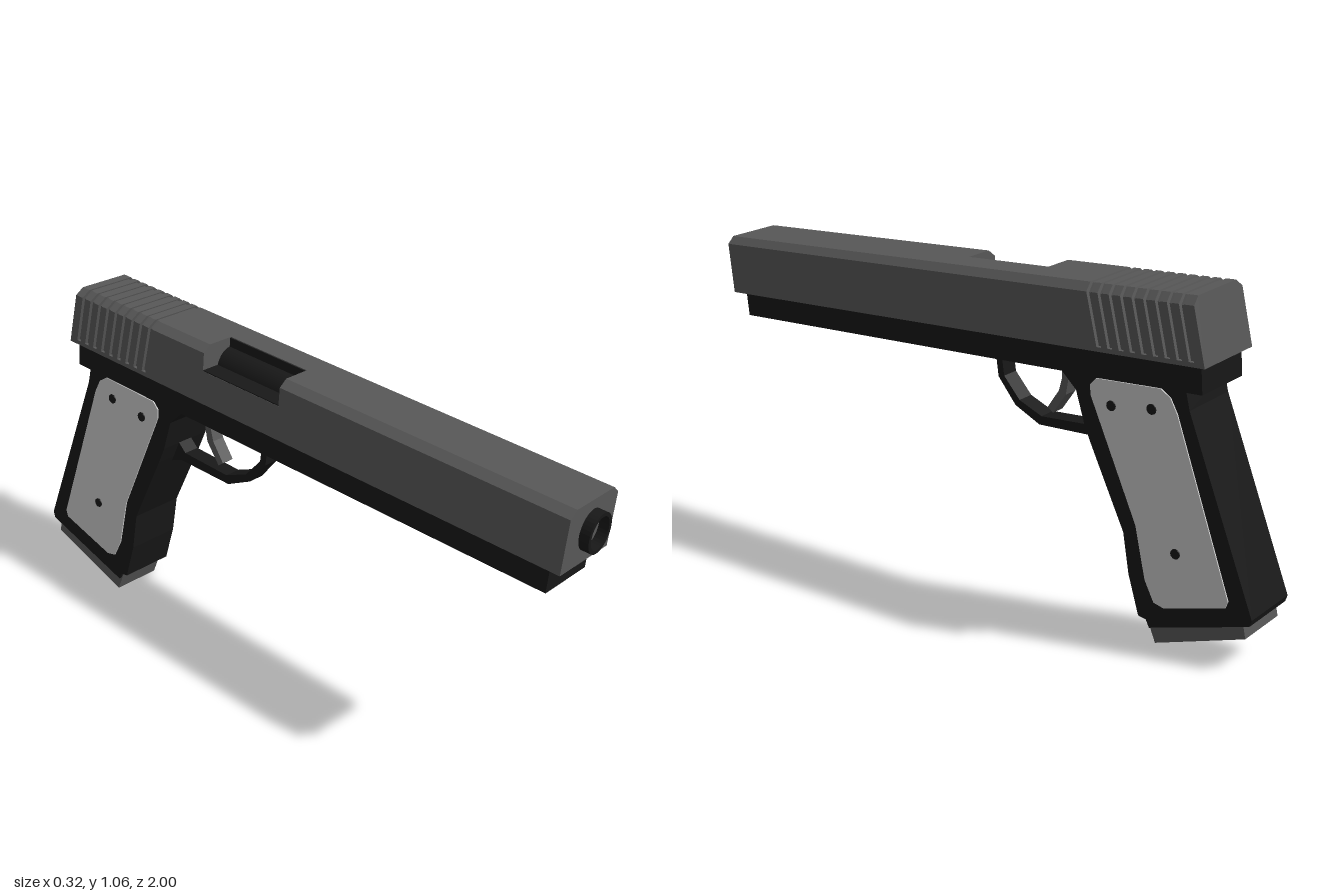
import * as THREE from 'three';

const paint = (color) => new THREE.MeshStandardMaterial({ color, flatShading: true });

export function createModel() {
  const model = new THREE.Group();
  // the whole piece leans slightly to its left
  const body = new THREE.Group();
  body.name = 'pistol';
  body.rotation.set(-0.004, 0, -0.12);
  body.position.x = -0.076;
  model.add(body);

  const black = paint(0x181818), steel = paint(0x585858), light = paint(0xcccccc);

  const add = (name, geometry, material, parent = body) => {
    const mesh = new THREE.Mesh(geometry, material);
    mesh.name = name;
    parent.add(mesh);
    return mesh;
  };
  const outline = (points) => new THREE.Shape(points.map(([a, b]) => new THREE.Vector2(a, b)));

  // side profile given as [z, y], extruded across x
  const plate = (points, width, x = 0) =>
    new THREE.ExtrudeGeometry(outline(points), { depth: width, bevelEnabled: false })
      .translate(0, 0, -width / 2).rotateY(-Math.PI / 2).translate(x, 0, 0);

  // cross-section given as [x, y], running from z0 to z1, with optionally raked ends
  const bar = (points, z0, z1, rake0 = 0, rake1 = 0) => {
    const g = new THREE.ExtrudeGeometry(outline(points), { depth: 1, bevelEnabled: false });
    const p = g.attributes.position;
    for (let i = 0; i < p.count; i++) {
      const drop = p.getY(i) - TOP;
      p.setZ(i, p.getZ(i) > 0.5 ? z1 + rake1 * drop : z0 + rake0 * drop);
    }
    g.computeVertexNormals();
    return g;
  };
  const mirrored = (half) => [...half, ...half.map(([x, y]) => [-x, y]).reverse()];

  // slide
  const TOP = 1.054, BASE = 0.869, RAKE = 0.16;
  const full = mirrored([[0.113, BASE], [0.113, 1.033], [0.088, TOP]]);
  const grooved = mirrored([[0.113, BASE], [0.113, 0.882], [0.102, 0.882], [0.102, 1.028], [0.078, TOP - 0.004]]);
  const ported = [[-0.113, BASE], [0.113, BASE], [0.113, 1.033], [0.088, TOP], [0, TOP], [0, 0.975], [-0.113, 0.975]];
  const slide = new THREE.Group();
  slide.name = 'slide';
  body.add(slide);
  add('slideFront', bar(full, 0, 0.97), steel, slide);
  add('slidePort', bar(ported, -0.3, 0), steel, slide);
  add('slideMiddle', bar(full, -0.515, -0.3, RAKE, 0), steel, slide);

  // grip serrations: narrow grooves between full-width ribs
  const pitch = 0.037, groove = 0.016, count = 9;
  for (let i = 0; i < count; i++) {
    const z = -0.515 - i * pitch;
    const end = i === count - 1 ? -0.857 : z - pitch;
    add('slideGroove', bar(grooved, z - groove, z, RAKE, RAKE), steel, slide);
    add('slideRib', bar(full, end, z - groove, RAKE, RAKE), steel, slide);
  }

  // barrel seen through the port, with its dark bed and inner wall
  const chamber = new THREE.CylinderGeometry(0.053, 0.053, 0.3, 24).rotateX(Math.PI / 2)
    .scale(1, 1.13, 1).translate(0, 0.964, -0.15);
  const chamberMesh = add('chamber', chamber, new THREE.MeshStandardMaterial({ color: 0x181818 }));
  chamberMesh.scale.x = 0.99;
  add('portBed', new THREE.BoxGeometry(0.112, 0.006, 0.3).translate(-0.056, 0.975, -0.15), black);
  add('portWall', new THREE.BoxGeometry(0.004, 0.075, 0.3).translate(-0.001, 1.014, -0.15), black);

  // muzzle ring
  const ring = new THREE.Shape().absellipse(0, 0, 0.053, 0.06, 0, Math.PI * 2);
  ring.holes.push(new THREE.Path().absellipse(0, 0, 0.042, 0.049, 0, Math.PI * 2));
  add('muzzle', new THREE.ExtrudeGeometry(ring, { depth: 0.04, bevelEnabled: false, curveSegments: 16 })
    .translate(0, 0.964, 0.96), black);

  // frame
  add('frame', new THREE.BoxGeometry(0.19, 0.08, 1.795).translate(0, 0.83, 0.0325), black);

  // grip
  add('grip', plate([
    [-0.39, 0.8], [-0.447, 0.74], [-0.47, 0.64], [-0.49, 0.585], [-0.586, 0.343], [-0.597, 0.218],
    [-0.624, 0.095], [-0.65, 0.09], [-0.66, 0.066], [-0.99, 0.16], [-0.998, 0.18], [-0.822, 0.74], [-0.812, 0.8],
  ], 0.184), black);

  // magazine base
  add('magazineBase', plate([[-0.65, 0.085], [-0.672, 0.018], [-0.971, 0.114], [-0.962, 0.18]], 0.166), steel);

  // grip panels and screws on both sides
  const panel = [
    [-0.5, 0.735], [-0.5, 0.765], [-0.522, 0.786], [-0.735, 0.789], [-0.765, 0.768], [-0.785, 0.725],
    [-0.927, 0.218], [-0.918, 0.197], [-0.715, 0.143], [-0.682, 0.152], [-0.655, 0.215], [-0.632, 0.375],
  ];
  for (const side of [1, -1]) {
    add('gripPanel', plate(panel, 0.01, side * 0.091), light);
    for (const [z, y] of [[-0.57, 0.715], [-0.704, 0.727], [-0.763, 0.32]]) {
      add('gripScrew', new THREE.CylinderGeometry(0.015, 0.015, 0.012, 12)
        .rotateZ(Math.PI / 2).translate(side * 0.0935, y, z), black);
    }
  }

  // trigger guard
  add('triggerGuard', plate([
    [-0.1, 0.8], [-0.105, 0.71], [-0.163, 0.63], [-0.25, 0.584], [-0.455, 0.584], [-0.51, 0.56],
    [-0.5, 0.66], [-0.475, 0.645], [-0.44, 0.615], [-0.26, 0.611], [-0.18, 0.648], [-0.127, 0.715], [-0.122, 0.8],
  ], 0.054), black);

  // trigger
  add('trigger', plate([
    [-0.345, 0.8], [-0.342, 0.74], [-0.328, 0.7], [-0.282, 0.642], [-0.3, 0.627], [-0.352, 0.69],
    [-0.364, 0.735], [-0.37, 0.8],
  ], 0.044), steel);

  return model;
}
